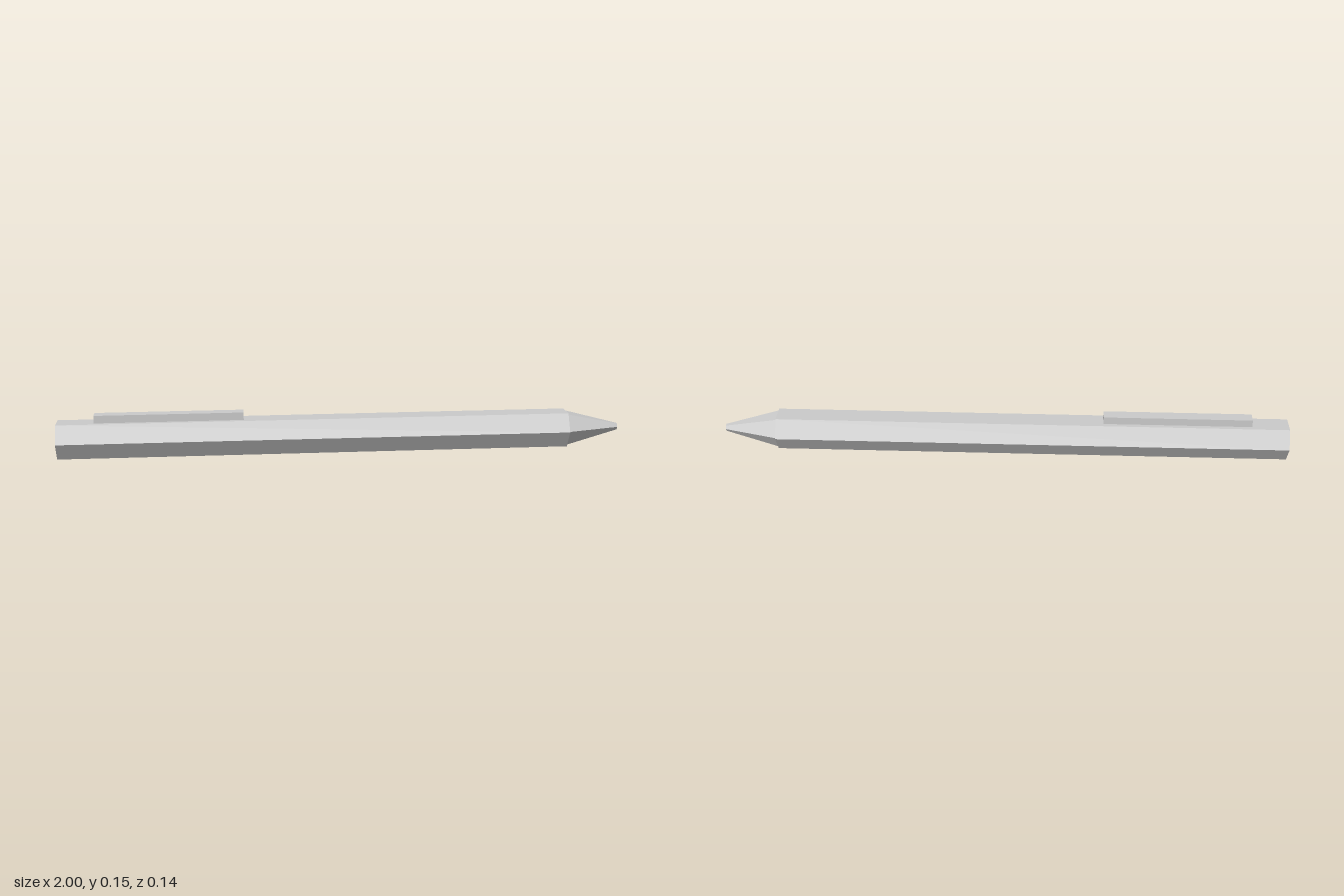
import * as THREE from 'three';

export function createModel() {
  const group = new THREE.Group();
  const grey = new THREE.MeshStandardMaterial({ color: 0xcccccc, flatShading: true });
  grey.name = 'light grey';

  const radius = 0.071;
  const axisY = radius * Math.cos(Math.PI / 6); // lower flat rests on the ground

  const add = (name, geometry, x, y) => {
    const mesh = new THREE.Mesh(geometry, grey);
    mesh.name = name;
    mesh.position.set(x, y, 0);
    group.add(mesh);
  };

  // Six-sided section along x, from x0 to x1
  const hexSection = (name, x0, x1, r0, r1) => {
    const geometry = new THREE.CylinderGeometry(r1, r0, x1 - x0, 6);
    geometry.rotateZ(-Math.PI / 2);
    add(name, geometry, (x0 + x1) / 2, axisY);
  };

  hexSection('barrel', -1, 0.81, radius, radius);
  hexSection('tip', 0.81, 1, 0.065, 0.0125);

  // Pocket clip lying on the upper flat
  const clipBottom = axisY * 2;
  const clipTop = 0.15;
  add('clip', new THREE.BoxGeometry(0.52, clipTop - clipBottom, 0.041), -0.61, (clipTop + clipBottom) / 2);

  return group;
}
